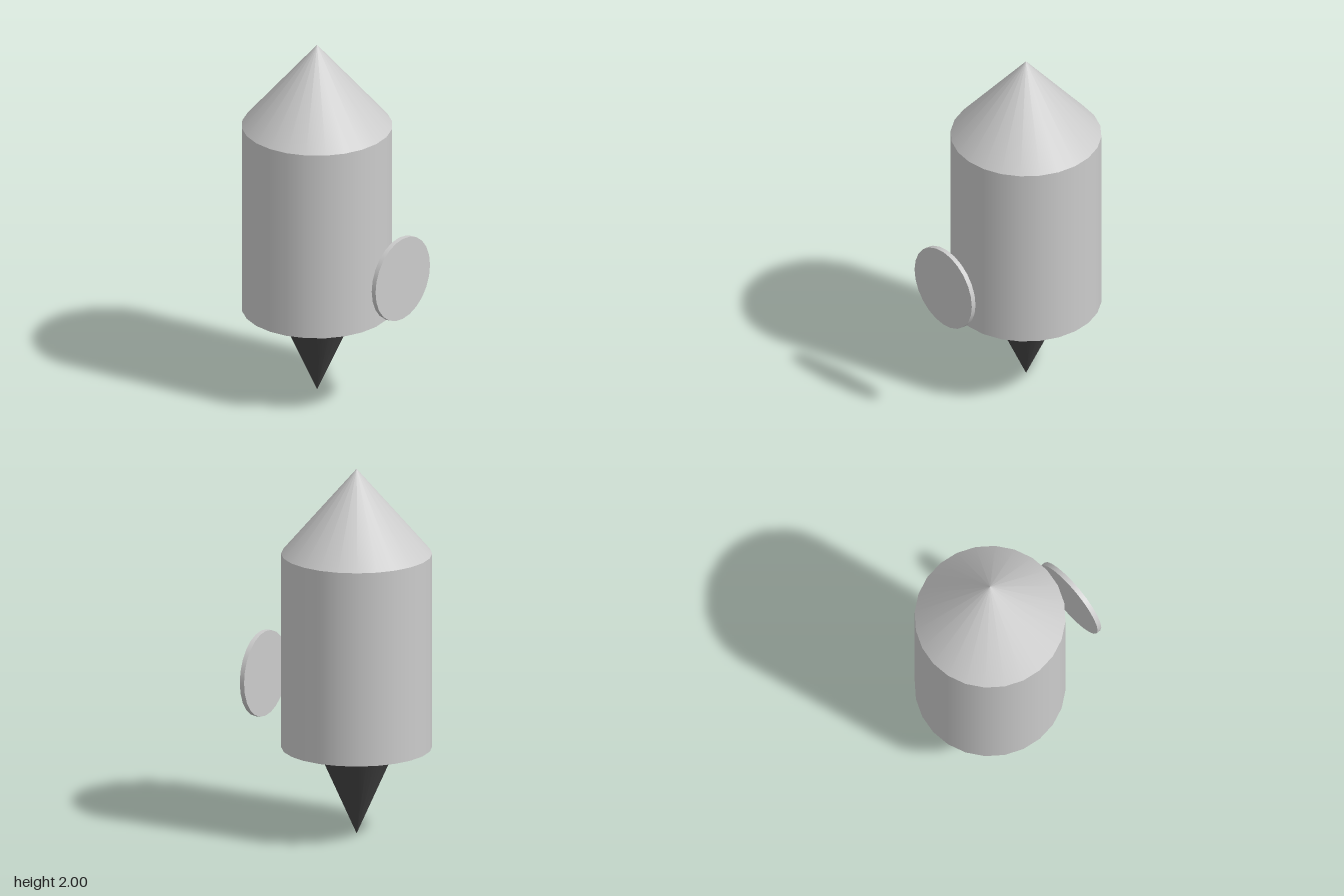
import * as THREE from 'three';

const SIDES = 24;
const AXIS_X = -0.09;

export function createModel() {
  const group = new THREE.Group();
  const grey = new THREE.MeshStandardMaterial({ color: 0xcccccc });
  const dark = new THREE.MeshStandardMaterial({ color: 0x444444 });

  const add = (name, geometry, material, x, y) => {
    const mesh = new THREE.Mesh(geometry, material);
    mesh.name = name;
    mesh.position.set(x, y, 0);
    group.add(mesh);
    return mesh;
  };

  // Main cylinder
  add('body', new THREE.CylinderGeometry(0.4, 0.4, 1.06, SIDES), grey, AXIS_X, 1.005);

  // Pointed cap
  add('noseCone', new THREE.ConeGeometry(0.4, 0.465, SIDES), grey, AXIS_X, 1.7675);

  // Dark cone pointing down beneath the body
  const tail = add('tailCone', new THREE.ConeGeometry(0.212, 0.475, SIDES), dark, AXIS_X, 0.2375);
  tail.rotation.x = Math.PI;

  // Thin round plate standing off the left side
  const plate = add('sidePlate', new THREE.CylinderGeometry(0.232, 0.232, 0.026, SIDES), grey, 0.476, 0.803);
  plate.rotation.z = Math.PI / 2;

  return group;
}
